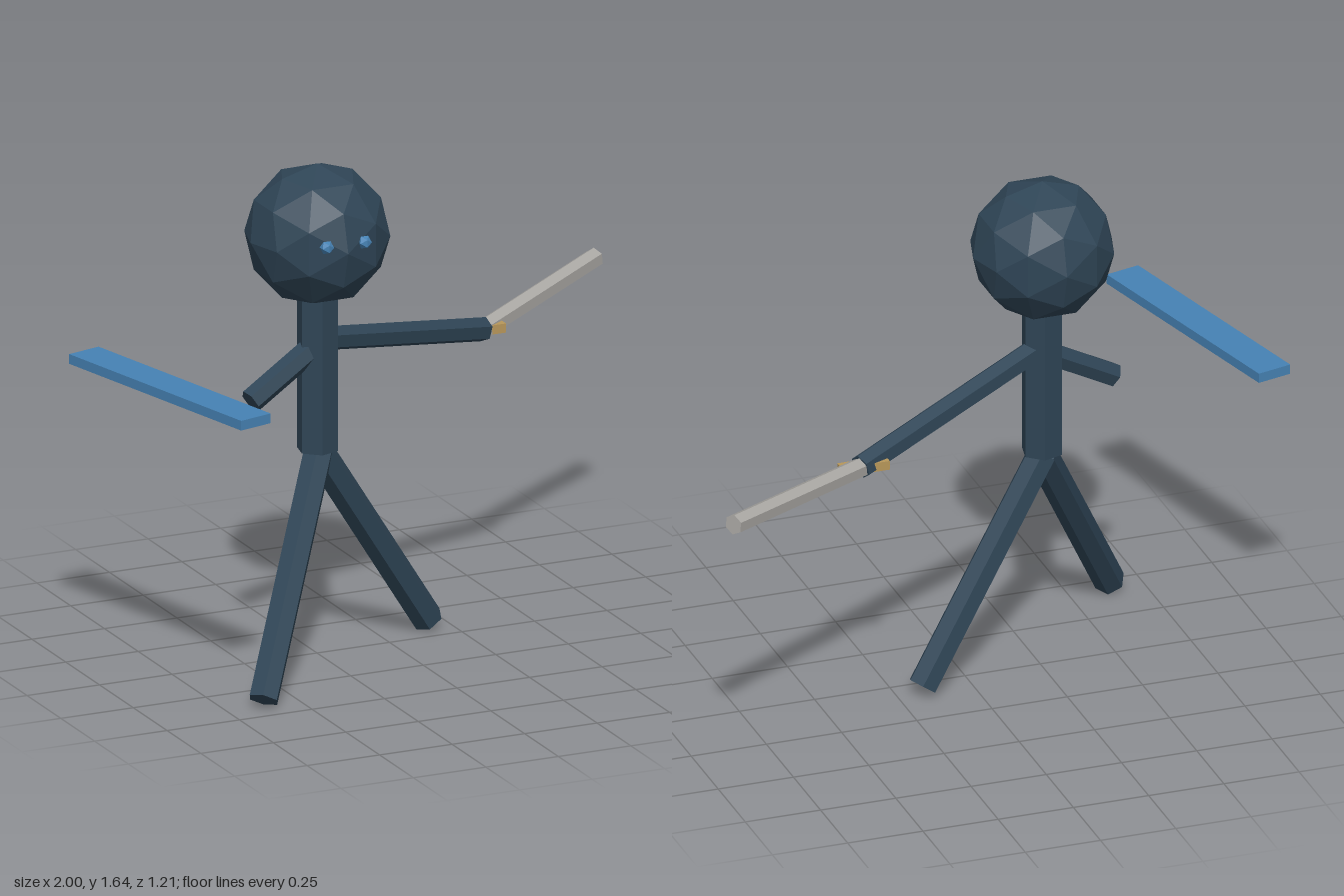
import * as THREE from 'three';

const mat = (color) => new THREE.MeshStandardMaterial({ color, flatShading: true });

export function createModel() {
  const model = new THREE.Group();
  model.name = 'stickFighter';
  const body = mat(0x2f4556), blue = mat(0x4682b4), steel = mat(0xaaa8a4), brass = mat(0xb8975a);

  const add = (name, geometry, material, x, y, z) => {
    const mesh = new THREE.Mesh(geometry, material);
    mesh.name = name;
    mesh.position.set(x, y, z);
    model.add(mesh);
    return mesh;
  };

  // Six-sided rod between two points
  const rod = (name, from, to, radius, material) => {
    const a = new THREE.Vector3(...from), b = new THREE.Vector3(...to);
    const dir = b.clone().sub(a);
    const mid = a.clone().add(b).multiplyScalar(0.5);
    const geometry = new THREE.CylinderGeometry(radius, radius, dir.length(), 6);
    const mesh = add(name, geometry, material, mid.x, mid.y, mid.z);
    mesh.quaternion.setFromUnitVectors(new THREE.Vector3(0, 1, 0), dir.normalize());
    return mesh;
  };

  // Head and eyes
  add('head', new THREE.IcosahedronGeometry(0.23, 1), body, -0.283, 1.42, 0.073);
  for (const [name, side] of [['rightEye', -1], ['leftEye', 1]]) {
    add(name, new THREE.IcosahedronGeometry(0.023, 0), blue, -0.283 + side * 0.065, 1.445, 0.284);
  }

  // Torso
  const torso = add('torso', new THREE.CylinderGeometry(0.067, 0.067, 0.54, 6), body, -0.283, 0.98, 0.075);
  torso.rotation.y = -0.2;

  // Arms
  rod('leftArm', [-0.26, 1.07, 0.07], [0.43, 0.913, -0.23], 0.04, body);
  rod('rightArm', [-0.28, 1.06, 0.075], [-0.535, 0.915, 0.12], 0.04, body);

  // Legs
  rod('leftLeg', [-0.28, 0.705, 0.07], [0.17, 0.04, -0.08], 0.05, body);
  rod('rightLeg', [-0.28, 0.705, 0.075], [-0.635, 0.04, 0.43], 0.05, body);

  // Sword: blade and cross guard
  rod('blade', [0.43, 0.912, -0.23], [0.98, 0.965, -0.585], 0.033, steel);
  add('guard', new THREE.BoxGeometry(0.16, 0.03, 0.04), brass, 0.42, 0.913, -0.23);

  // Floating plank beside the right hand
  const plank = add('plank', new THREE.BoxGeometry(0.118, 0.032, 0.854), blue, -0.838, 1.016, 0.173);
  plank.rotation.y = 0.245;

  return model;
}
